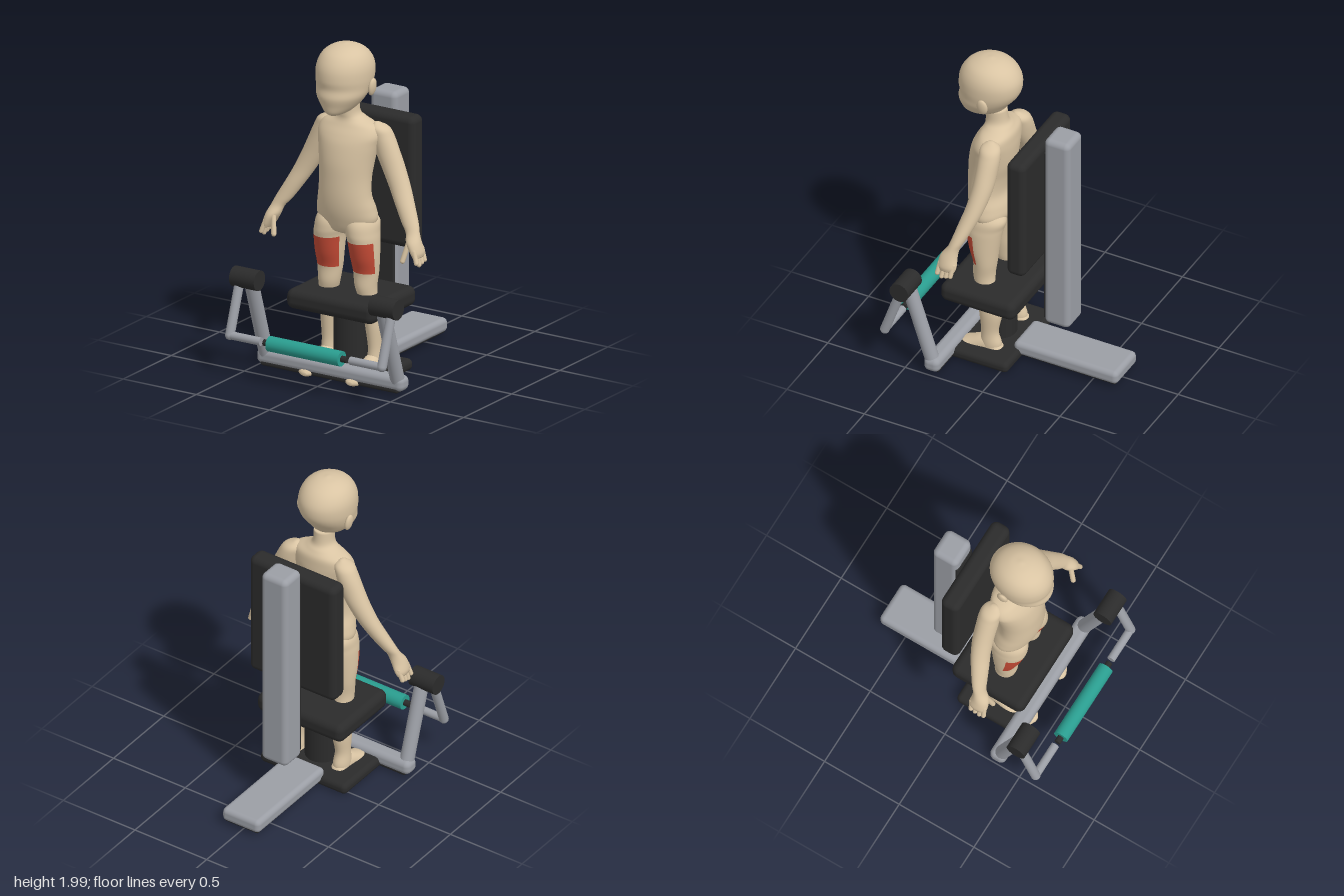
import * as THREE from 'three';
import { RoundedBoxGeometry } from 'three/addons/geometries/RoundedBoxGeometry.js';

const material = (name, color) => Object.assign(new THREE.MeshStandardMaterial({ color }), { name });

// Smooth oval loft. Sections are [y, xMin, xMax, zMin, zMax]; accent(y, sin) picks the second material.
function loft(sections, accent, sides = 40, steps = 6) {
  const s = [...sections].sort((a, b) => a[0] - b[0]);
  const place = new THREE.CatmullRomCurve3(s.map(([y, a, b, c, d]) => new THREE.Vector3((a + b) / 2, y, (c + d) / 2)), false, 'catmullrom');
  const size = new THREE.CatmullRomCurve3(s.map(([, a, b, c, d]) => new THREE.Vector3((b - a) / 2, 0, (d - c) / 2)), false, 'catmullrom');
  const n = (s.length - 1) * steps;
  const pos = [], heights = [], plain = [], marked = [];
  for (let i = -1; i <= n + 1; i++) {
    const t = Math.min(Math.max(i / n, 0), 1);
    const p = place.getPoint(t), r = size.getPoint(t);
    if (i < 0 || i > n) r.set(0, 0, 0); // closed ends
    heights.push(p.y);
    for (let j = 0; j < sides; j++) {
      const a = (j / sides) * Math.PI * 2;
      pos.push(p.x + r.x * Math.cos(a), p.y, p.z + r.z * Math.sin(a));
    }
  }
  for (let i = 0; i < n + 2; i++) {
    for (let j = 0; j < sides; j++) {
      const a = i * sides + j, b = i * sides + (j + 1) % sides;
      const hit = accent && accent((heights[i] + heights[i + 1]) / 2, Math.sin(((j + 0.5) / sides) * Math.PI * 2));
      (hit ? marked : plain).push(a, a + sides, b, b, a + sides, b + sides);
    }
  }
  const g = new THREE.BufferGeometry();
  g.setAttribute('position', new THREE.Float32BufferAttribute(pos, 3));
  g.setIndex([...plain, ...marked]);
  if (accent) {
    g.addGroup(0, plain.length, 0);
    g.addGroup(plain.length, marked.length, 1);
  }
  g.computeVertexNormals();
  return g;
}

const mirror = (sections, side) => side > 0 ? sections : sections.map(([y, a, b, c, d]) => [y, -b, -a, c, d]);

export function createModel() {
  const skin = material('skin', 0xd9c4a3);
  const muscle = material('thighRed', 0xc44a35);
  const steel = material('greySteel', 0x9b9ea5);
  const dark = material('darkPadding', 0x2b2b2b);
  const teal = material('tealRoller', 0x2a9d8f);

  const model = new THREE.Group();
  model.name = 'legExtensionMachineWithFigure';
  const machine = new THREE.Group();
  machine.name = 'machine';
  const figure = new THREE.Group();
  figure.name = 'figure';
  model.add(machine, figure);

  const add = (parent, name, geometry, mat) => {
    const mesh = new THREE.Mesh(geometry, mat);
    mesh.name = name;
    parent.add(mesh);
    return mesh;
  };
  // Rounded box given by its limits on each axis
  const block = (name, [x0, x1], [y0, y1], [z0, z1], radius, mat) =>
    add(machine, name, new RoundedBoxGeometry(x1 - x0, y1 - y0, z1 - z0, 4, radius), mat)
      .position.set((x0 + x1) / 2, (y0 + y1) / 2, (z0 + z1) / 2);
  // Round bar or capsule between two points
  const bar = (parent, name, from, to, radius, mat, rounded = false) => {
    const a = new THREE.Vector3(...from), b = new THREE.Vector3(...to);
    const d = b.clone().sub(a), len = d.length();
    const g = rounded ? new THREE.CapsuleGeometry(radius, len, 6, 14) : new THREE.CylinderGeometry(radius, radius, len, 28);
    const mesh = add(parent, name, g, mat);
    mesh.position.copy(a).add(b).multiplyScalar(0.5);
    mesh.quaternion.setFromUnitVectors(new THREE.Vector3(0, 1, 0), d.normalize());
  };

  // Frame and padding
  block('basePlate', [-0.3, 0.3], [0.01, 0.08], [-0.05, 0.37], 0.03, dark);
  block('rearBeam', [-0.13, 0.13], [0.035, 0.12], [-0.67, 0.0], 0.03, steel);
  block('rearBeamUnderside', [-0.115, 0.115], [0.028, 0.05], [-0.655, 0.0], 0.01, dark);
  block('crossbar', [-0.5, 0.5], [0.025, 0.115], [0.29, 0.39], 0.035, steel);
  block('crossbarUnderside', [-0.47, 0.47], [0.015, 0.05], [0.3, 0.386], 0.015, dark);
  block('backColumn', [-0.09, 0.09], [0.29, 1.6], [-0.34, -0.175], 0.035, steel);
  block('columnFrontFace', [-0.08, 0.08], [0.32, 1.5], [-0.195, -0.17], 0.01, dark);
  block('backPad', [-0.3, 0.3], [0.73, 1.525], [-0.16, -0.04], 0.04, dark);
  block('seat', [-0.3, 0.3], [0.39, 0.51], [-0.09, 0.39], 0.045, dark);
  bar(machine, 'seatPost', [0, 0.06, 0.15], [0, 0.42, 0.15], 0.1, dark);

  // Swing arms on both sides, with the roller between them
  for (const s of [1, -1]) {
    bar(machine, 'armUpright', [s * 0.45, 0.07, 0.345], [s * 0.45, 0.575, 0.51], 0.042, steel);
    bar(machine, 'armPivot', [s * 0.39, 0.575, 0.51], [s * 0.56, 0.575, 0.51], 0.06, dark);
    bar(machine, 'swingLink', [s * 0.52, 0.575, 0.51], [s * 0.52, 0.255, 0.62], 0.028, steel);
    add(machine, 'linkElbow', new THREE.SphereGeometry(0.028, 20, 14), steel).position.set(s * 0.52, 0.255, 0.62);
    bar(machine, 'rollerBar', [s * 0.305, 0.255, 0.62], [s * 0.52, 0.255, 0.62], 0.024, steel);
  }
  bar(machine, 'rollerAxle', [-0.285, 0.255, 0.622], [0.285, 0.255, 0.622], 0.019, dark);
  bar(machine, 'roller', [-0.247, 0.255, 0.622], [0.247, 0.255, 0.622], 0.045, teal);

  // Torso with neck, and head
  add(figure, 'torso', loft([
    [0.86, -0.04, 0.04, 0.16, 0.24], [0.885, -0.14, 0.14, 0.11, 0.28], [0.95, -0.19, 0.19, 0.065, 0.305],
    [1.02, -0.185, 0.185, 0.07, 0.322], [1.1, -0.167, 0.167, 0.095, 0.33], [1.2, -0.162, 0.162, 0.085, 0.33],
    [1.3, -0.172, 0.172, 0.06, 0.325], [1.4, -0.19, 0.19, 0.05, 0.305], [1.46, -0.2, 0.2, 0.05, 0.28],
    [1.51, -0.175, 0.175, 0.055, 0.25], [1.545, -0.1, 0.1, 0.075, 0.235], [1.58, -0.064, 0.064, 0.1, 0.235],
    [1.66, -0.06, 0.06, 0.11, 0.24],
  ]), skin);
  add(figure, 'head', loft([
    [1.602, -0.035, 0.035, 0.26, 0.36], [1.62, -0.07, 0.07, 0.19, 0.382], [1.66, -0.11, 0.11, 0.125, 0.392],
    [1.71, -0.143, 0.143, 0.085, 0.402], [1.76, -0.156, 0.156, 0.045, 0.394], [1.81, -0.163, 0.163, 0.023, 0.4],
    [1.87, -0.162, 0.162, 0.021, 0.394], [1.92, -0.147, 0.147, 0.042, 0.372], [1.96, -0.117, 0.117, 0.08, 0.335],
    [1.988, -0.068, 0.068, 0.135, 0.275], [2.0, -0.008, 0.008, 0.195, 0.215],
  ]), skin);

  // Limbs and ears, mirrored
  const arm = [
    [1.53, 0.15, 0.17, 0.11, 0.14], [1.5, 0.12, 0.232, 0.065, 0.175], [1.45, 0.13, 0.264, 0.052, 0.178],
    [1.36, 0.155, 0.306, 0.054, 0.178], [1.27, 0.2, 0.346, 0.06, 0.18], [1.17, 0.258, 0.392, 0.08, 0.19],
    [1.08, 0.315, 0.436, 0.11, 0.21], [0.99, 0.375, 0.482, 0.148, 0.23], [0.94, 0.417, 0.502, 0.172, 0.245],
    [0.89, 0.437, 0.523, 0.175, 0.278], [0.84, 0.468, 0.538, 0.168, 0.285], [0.81, 0.488, 0.535, 0.175, 0.28],
  ];
  const leg = [
    [1.0, 0.05, 0.15, 0.12, 0.25], [0.94, 0.01, 0.19, 0.065, 0.295], [0.88, 0.012, 0.2, 0.075, 0.305],
    [0.83, 0.025, 0.205, 0.085, 0.3], [0.73, 0.035, 0.206, 0.1, 0.277], [0.64, 0.045, 0.2, 0.11, 0.25],
    [0.55, 0.06, 0.19, 0.12, 0.25], [0.48, 0.08, 0.19, 0.11, 0.235], [0.4, 0.09, 0.197, 0.07, 0.215],
    [0.3, 0.1, 0.205, 0.06, 0.2], [0.18, 0.115, 0.2, 0.08, 0.185], [0.1, 0.11, 0.205, 0.06, 0.19],
    [0.03, 0.115, 0.2, 0.07, 0.18],
  ];
  // Foot runs along z: [z, xMin, xMax, -top, -bottom]
  const foot = [
    [0.045, 0.14, 0.17, -0.07, -0.04], [0.07, 0.115, 0.2, -0.1, -0.02], [0.15, 0.105, 0.205, -0.145, -0.015],
    [0.25, 0.1, 0.22, -0.105, -0.012], [0.34, 0.1, 0.23, -0.063, -0.01], [0.385, 0.115, 0.205, -0.05, -0.008],
    [0.405, 0.14, 0.17, -0.035, -0.015],
  ];
  const frontOfThigh = (y, sin) => y > 0.64 && y < 0.83 && sin > 0.3;
  for (const s of [1, -1]) {
    const side = s > 0 ? 'left' : 'right';
    add(figure, side + 'Arm', loft(mirror(arm, s)), skin);
    add(figure, side + 'Leg', loft(mirror(leg, s), frontOfThigh), [skin, muscle]);
    add(figure, side + 'Foot', loft(mirror(foot, s)).rotateX(Math.PI / 2), skin);
    for (let i = 0; i < 4; i++) {
      const z = 0.185 + i * 0.028;
      bar(figure, side + 'Finger', [s * 0.508, 0.85, z], [s * 0.53, 0.785 - 0.008 * (i % 3), z + 0.008], 0.014, skin, true);
    }
    bar(figure, side + 'Thumb', [s * 0.462, 0.89, 0.255], [s * 0.44, 0.785, 0.285], 0.015, skin, true);
    const ear = add(figure, side + 'Ear', new THREE.SphereGeometry(1, 20, 14), skin);
    ear.position.set(s * 0.165, 1.757, 0.18);
    ear.scale.set(0.018, 0.053, 0.034);
    ear.rotation.z = -s * 0.15;
  }
  return model;
}
